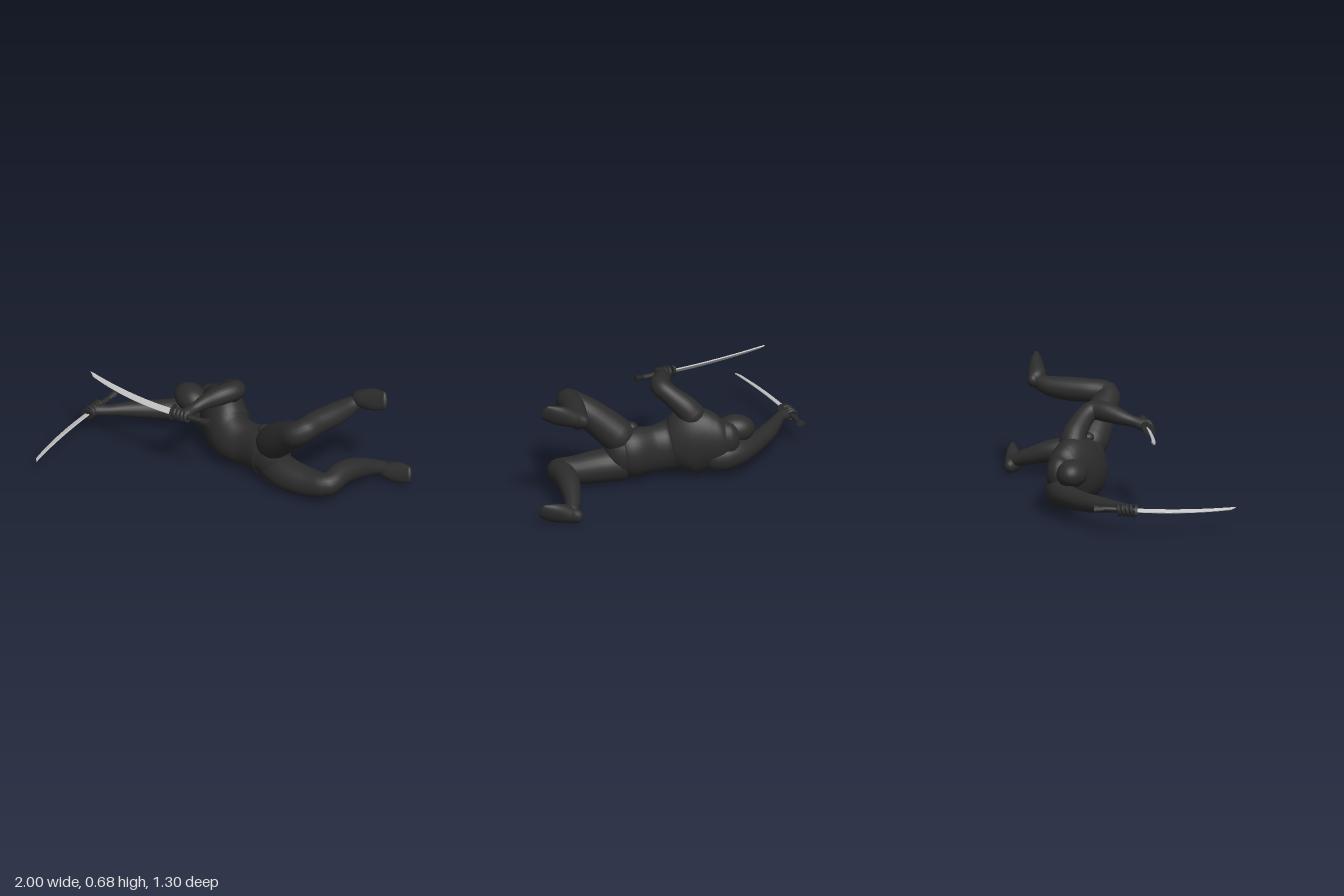
import * as THREE from 'three';

const suit = new THREE.MeshStandardMaterial({ color: 0x2c2c2c });
suit.name = 'dark suit';
const steel = new THREE.MeshStandardMaterial({ color: 0xc4c4c4 });
steel.name = 'blade steel';

const V = (x, y, z) => new THREE.Vector3(x, y, z);

function add(parent, name, geometry, material = suit) {
  const mesh = new THREE.Mesh(geometry, material);
  mesh.name = name;
  parent.add(mesh);
  return mesh;
}

// Smooth body through elliptical sections [x, y, z, ru, rv]; ru lies towards hint. Ends are rounded.
function loft(sections, hint, steps = 32, sides = 24) {
  const path = new THREE.CatmullRomCurve3(sections.map(s => V(s[0], s[1], s[2])), false, 'catmullrom');
  const size = new THREE.CatmullRomCurve3(sections.map(s => V(s[3], s[4] ?? s[3], 0)), false, 'catmullrom');
  const pos = [], index = [];
  let rings = 0;
  const ring = (k, angle) => {
    const t = path.getTangent(k), r = size.getPoint(k);
    const v = t.clone().cross(hint).normalize(), u = v.clone().cross(t);
    const c = path.getPoint(k).addScaledVector(t, Math.sin(angle) * Math.min(r.x, r.y));
    for (let j = 0; j < sides; j++) {
      const a = j / sides * Math.PI * 2;
      const p = c.clone().addScaledVector(u, Math.cos(a) * Math.cos(angle) * r.x)
        .addScaledVector(v, Math.sin(a) * Math.cos(angle) * r.y);
      pos.push(p.x, p.y, p.z);
    }
    rings++;
  };
  for (let i = 5; i > 0; i--) ring(0, -i / 5 * 1.56);
  for (let i = 0; i <= steps; i++) ring(i / steps, 0);
  for (let i = 1; i <= 5; i++) ring(1, i / 5 * 1.56);
  for (let i = 0; i < rings - 1; i++) for (let j = 0; j < sides; j++) {
    const a = i * sides + j, b = i * sides + (j + 1) % sides;
    index.push(a, b, b + sides, a, b + sides, a + sides);
  }
  const g = new THREE.BufferGeometry();
  g.setAttribute('position', new THREE.Float32BufferAttribute(pos, 3));
  g.setIndex(index);
  g.computeVertexNormals();
  return g;
}

function ellipsoid(parent, name, [x, y, z], [rx, ry, rz], turn = 0) {
  const m = add(parent, name, new THREE.SphereGeometry(1, 28, 20));
  m.position.set(x, y, z);
  m.scale.set(rx, ry, rz);
  m.rotation.y = turn;
  return m;
}

// Curved sword with gripping fingers: local x runs to the tip, local y towards the cutting edge
function sword(name, base, tip, edge) {
  const g = new THREE.Group();
  g.name = name;
  const d = tip.clone().sub(base), len = d.length();
  d.normalize();
  const n = d.clone().cross(edge).normalize();
  const w = n.clone().cross(d);
  g.applyMatrix4(new THREE.Matrix4().makeBasis(d, w, n).setPosition(base));

  const s = new THREE.Shape();
  s.moveTo(0, -0.016);
  s.quadraticCurveTo(len * 0.5, 0.022, len, -0.005);
  s.lineTo(len * 0.95, 0.015);
  s.quadraticCurveTo(len * 0.5, 0.056, 0, 0.016);
  const blade = new THREE.ExtrudeGeometry(s, {
    depth: 0.004, bevelEnabled: true, bevelThickness: 0.002, bevelSize: 0.002, bevelSegments: 1, curveSegments: 24,
  });
  blade.translate(0, 0, -0.002);
  add(g, 'blade', blade, steel);

  const hilt = new THREE.Group();
  hilt.name = 'hilt';
  hilt.rotation.z = 0.14;
  g.add(hilt);
  const guard = add(hilt, 'guard', new THREE.CylinderGeometry(0.048, 0.048, 0.014, 8));
  guard.rotation.z = Math.PI / 2;
  guard.scale.z = 0.65;
  const grip = add(hilt, 'grip', new THREE.CylinderGeometry(0.018, 0.015, 0.19, 10));
  grip.rotation.z = -Math.PI / 2;
  grip.position.x = -0.095;
  const pommel = add(hilt, 'pommel', new THREE.CylinderGeometry(0.015, 0.028, 0.06, 6));
  pommel.rotation.z = Math.PI / 2 + Math.PI;
  pommel.scale.z = 0.7;
  pommel.position.x = -0.208;
  for (let i = 0; i < 4; i++) {
    const finger = add(hilt, 'finger', new THREE.TorusGeometry(0.026, 0.012, 8, 16));
    finger.rotation.set(0, Math.PI / 2 + 0.2, 0);
    finger.position.x = -0.025 - i * 0.024;
  }
  return g;
}

export function createModel() {
  const model = new THREE.Group();
  model.name = 'swordFighter';
  const up = V(0, 1, 0);

  // Trunk and head
  add(model, 'torso', loft([
    [0.085, 0.235, -0.31, 0.1, 0.07], [0.097, 0.23, -0.25, 0.155, 0.098], [0.107, 0.222, -0.12, 0.2, 0.128],
    [0.117, 0.185, 0, 0.155, 0.125], [0.18, 0.177, 0.1, 0.137, 0.1], [0.25, 0.18, 0.2, 0.147, 0.118],
    [0.272, 0.175, 0.25, 0.138, 0.108],
  ], up, 48, 32));
  ellipsoid(model, 'head', [-0.02, 0.255, -0.332], [0.085, 0.08, 0.112], 0.3);
  ellipsoid(model, 'leftHipKnob', [0.24, 0.33, 0.21], [0.036, 0.028, 0.036]);
  ellipsoid(model, 'rightHipKnob', [0.25, 0.045, 0.28], [0.036, 0.028, 0.036]);

  // Arms running into the palms
  add(model, 'rightArm', loft([
    [0.1, 0.13, -0.25, 0.088], [0.08, 0.132, -0.3, 0.086], [0.03, 0.137, -0.36, 0.077],
    [-0.06, 0.138, -0.41, 0.064], [-0.17, 0.135, -0.445, 0.055], [-0.27, 0.14, -0.472, 0.05],
    [-0.38, 0.147, -0.49, 0.038], [-0.45, 0.15, -0.5, 0.031], [-0.515, 0.15, -0.53, 0.034, 0.042],
  ], up));
  add(model, 'leftArm', loft([
    [0.123, 0.382, -0.115, 0.075], [0.13, 0.43, -0.075, 0.068], [0.13, 0.5, 0.015, 0.056],
    [0.105, 0.53, 0.07, 0.056], [0.02, 0.525, 0.085, 0.056], [-0.07, 0.505, 0.092, 0.043],
    [-0.14, 0.488, 0.11, 0.031], [-0.2, 0.473, 0.13, 0.033, 0.042],
  ], V(0.2, -0.8, 0.5)));

  // Bent legs
  add(model, 'rightLeg', loft([
    [0.287, 0.115, 0.28, 0.098], [0.325, 0.112, 0.37, 0.095], [0.41, 0.115, 0.485, 0.083],
    [0.495, 0.14, 0.575, 0.066], [0.59, 0.157, 0.522, 0.066], [0.68, 0.143, 0.475, 0.063],
    [0.79, 0.108, 0.435, 0.048], [0.88, 0.075, 0.415, 0.037],
  ], up));
  add(model, 'leftLeg', loft([
    [0.272, 0.285, 0.28, 0.1], [0.283, 0.34, 0.345, 0.097], [0.308, 0.425, 0.445, 0.086],
    [0.34, 0.503, 0.55, 0.069], [0.45, 0.518, 0.505, 0.068], [0.56, 0.522, 0.465, 0.067],
    [0.66, 0.533, 0.43, 0.055], [0.74, 0.56, 0.415, 0.037],
  ], V(-0.15, 0.8, -0.6)));

  // Feet from heel to toe
  const sole = V(1, -0.35, -0.4);
  add(model, 'rightFoot', loft([
    [0.89, 0.045, 0.385, 0.034, 0.04], [0.898, 0.06, 0.43, 0.052, 0.05],
    [0.943, 0.08, 0.5, 0.038, 0.06], [0.98, 0.1, 0.563, 0.018, 0.046],
  ], sole, 20));
  add(model, 'leftFoot', loft([
    [0.732, 0.56, 0.385, 0.034, 0.04], [0.743, 0.58, 0.435, 0.052, 0.052],
    [0.79, 0.61, 0.51, 0.038, 0.063], [0.83, 0.64, 0.58, 0.018, 0.05],
  ], sole, 20));

  // Swords held in both hands
  model.add(sword('rightSword', V(-0.575, 0.147, -0.505), V(-1, 0.147, -0.135), V(-0.657, -0.35, -0.755)));
  model.add(sword('leftSword', V(-0.26, 0.465, 0.08), V(-0.6, 0.513, -0.378), V(-0.52, -0.75, 0.39)));
  return model;
}
